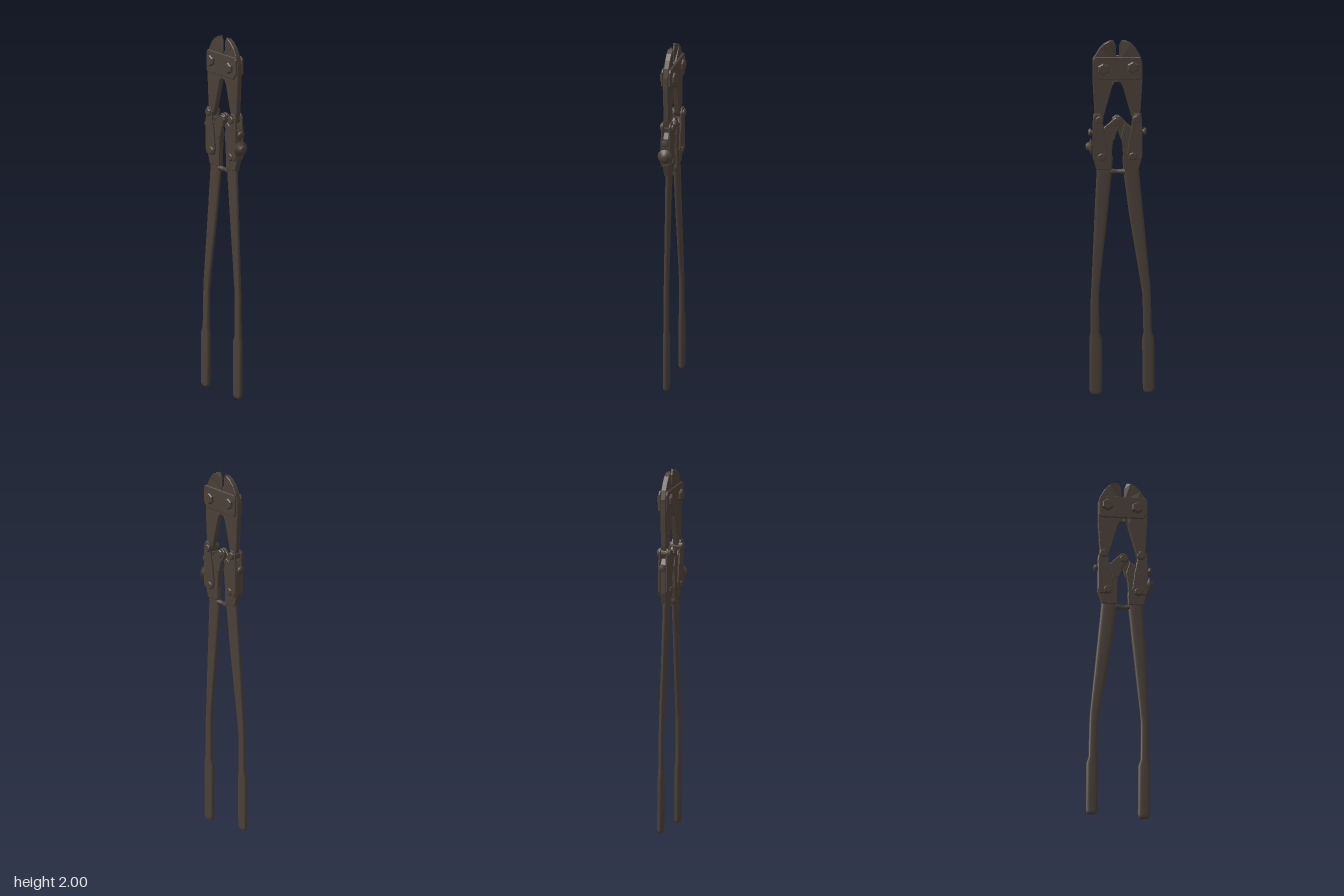
import * as THREE from 'three';

const AXIS = 0.014; // x of the tool's centre line
const mirror = pts => pts.map(([x, y]) => [2 * AXIS - x, y]);

export function createModel() {
  const root = new THREE.Group();
  root.name = 'boltCutter';
  const steel = new THREE.MeshStandardMaterial({ color: 0x4a4038 });
  steel.name = 'dark brown steel';

  const add = (name, geo, parent = root) => {
    const m = new THREE.Mesh(geo, steel);
    m.name = name;
    parent.add(m);
    return m;
  };

  // Flat plate with a small chamfer, spanning z0..z1
  const plateGeo = (pts, z0, z1, bevel = 0.003) => {
    const shape = new THREE.Shape(pts.map(p => new THREE.Vector2(...p)));
    const g = new THREE.ExtrudeGeometry(shape, {
      depth: z1 - z0 - 2 * bevel, bevelEnabled: bevel > 0, bevelThickness: bevel,
      bevelSize: bevel, bevelOffset: -bevel, bevelSegments: 1,
    });
    return g.translate(0, 0, z0 + bevel);
  };

  // Chamfered turned part along z, with a given number of sides
  const bolt = (name, x, y, r, h, sides) => {
    const profile = [[0, -h], [r * 0.8, -h], [r, -h + 0.005], [r, h - 0.005], [r * 0.8, h], [0, h]];
    let g = new THREE.LatheGeometry(profile.map(p => new THREE.Vector2(...p)), sides);
    g = g.toNonIndexed();
    g.computeVertexNormals();
    g.rotateX(Math.PI / 2);
    add(name, g).position.set(x, y, 0);
  };

  // Handle bar: oval rings from [y, xMin, xMax, half depth]
  const loft = (sections, sides = 20) => {
    const pos = [], index = [];
    const soft = v => Math.sign(v) * Math.abs(v) ** 0.65;
    const ring = ([y, x0, x1, d]) => {
      for (let i = 0; i < sides; i++) {
        const a = (i / sides) * Math.PI * 2;
        pos.push((x0 + x1) / 2 + soft(Math.cos(a)) * (x1 - x0) / 2, y, soft(Math.sin(a)) * d);
      }
    };
    sections.forEach(ring);
    for (let s = 0; s < sections.length - 1; s++) {
      for (let i = 0; i < sides; i++) {
        const a = s * sides + i, b = s * sides + (i + 1) % sides;
        index.push(a, a + sides, b, b, a + sides, b + sides);
      }
    }
    // End caps on their own rings
    for (const end of [0, sections.length - 1]) {
      const base = pos.length / 3;
      ring(sections[end]);
      for (let i = 1; i < sides - 1; i++) {
        if (end === 0) index.push(base, base + i, base + i + 1);
        else index.push(base, base + i + 1, base + i);
      }
    }
    const g = new THREE.BufferGeometry();
    g.setAttribute('position', new THREE.Float32BufferAttribute(pos, 3));
    g.setIndex(index);
    g.computeVertexNormals();
    return g;
  };

  // Handles with swollen grips
  add('rightHandle', loft([
    [0.01, -0.176, -0.134, 0.01], [0.025, -0.187, -0.124, 0.015], [0.31, -0.186, -0.12, 0.015],
    [0.345, -0.173, -0.127, 0.013], [0.56, -0.168, -0.122, 0.012], [0.62, -0.164, -0.113, 0.012],
    [1.035, -0.125, -0.046, 0.012], [1.25, -0.105, -0.019, 0.013], [1.34, -0.1, -0.012, 0.014],
  ]));
  add('leftHandle', loft([
    [0, 0.108, 0.156, 0.01], [0.018, 0.098, 0.166, 0.015], [0.31, 0.099, 0.167, 0.015],
    [0.345, 0.112, 0.161, 0.013], [0.56, 0.114, 0.159, 0.012], [0.62, 0.11, 0.155, 0.012],
    [1.035, 0.066, 0.138, 0.012], [1.25, 0.045, 0.128, 0.013], [1.34, 0.038, 0.125, 0.014],
  ]));

  const jaw = [
    [-0.008, 2], [-0.03, 1.997], [-0.058, 1.983], [-0.085, 1.955], [-0.108, 1.915], [-0.122, 1.865],
    [-0.122, 1.77], [-0.112, 1.6], [-0.1, 1.545], [-0.078, 1.54], [-0.063, 1.565], [-0.015, 1.74],
    [-0.002, 1.763], [0.013, 1.766], [0.013, 1.89], [0.007, 1.9], [0.005, 1.97],
  ];
  const head = [
    [-0.1, 1.27], [-0.12, 1.34], [-0.121, 1.5], [-0.1, 1.53], [-0.07, 1.53],
    [-0.06, 1.508], [-0.025, 1.53], [-0.005, 1.46], [-0.014, 1.4], [-0.018, 1.27],
  ];
  const arm = [
    [-0.062, 1.505], [-0.012, 1.555], [0.005, 1.573], [0.025, 1.574], [0.042, 1.56],
    [0.044, 1.535], [0.03, 1.515], [0.012, 1.49], [-0.002, 1.44], [-0.035, 1.42],
  ];
  const strap = [
    [-0.118, 1.57], [-0.108, 1.59], [-0.078, 1.59], [-0.066, 1.565], [-0.063, 1.52],
    [-0.05, 1.46], [-0.038, 1.36], [-0.05, 1.328], [-0.112, 1.328], [-0.122, 1.35], [-0.122, 1.5],
  ];

  for (const [side, flip] of [['right', p => p], ['left', mirror]]) {
    const sign = side === 'right' ? 1 : -1;

    // Jaw, ground thin towards its cutting edge
    const g = plateGeo(flip(jaw), -0.015, 0.015);
    const p = g.attributes.position;
    for (let i = 0; i < p.count; i++) {
      const toEdge = Math.abs(p.getX(i) - AXIS);
      if (p.getY(i) > 1.895 && toEdge < 0.03) p.setZ(i, p.getZ(i) * 0.3);
    }
    g.computeVertexNormals();
    add(side + 'Jaw', g);

    // Handle head, and the arm that overlaps at the centre pivot
    add(side + 'HandleHead', plateGeo(flip(head), -0.016, 0.016));
    add(side + 'PivotArm', plateGeo(flip(arm), sign > 0 ? 0.001 : -0.018, sign > 0 ? 0.018 : -0.001));

    // Straps tying jaw to handle, front and back
    add(side + 'StrapFront', plateGeo(flip(strap), 0.015, 0.028));
    add(side + 'StrapBack', plateGeo(flip(strap), -0.028, -0.015));

    // Stop peg between the handles
    const peg = new THREE.CylinderGeometry(0.011, 0.016, 0.04, 12).rotateZ(-sign * Math.PI / 2);
    add(side + 'StopPeg', peg).position.set(AXIS - sign * 0.021, 1.258, 0);
  }

  // Plates across the jaws
  const cover = [
    [-0.108, 1.91], [0.138, 1.91], [0.148, 1.895], [0.148, 1.815], [0.125, 1.785],
    [-0.108, 1.785], [-0.118, 1.8], [-0.118, 1.89],
  ];
  add('jawPlateFront', plateGeo(cover, 0.014, 0.026));
  add('jawPlateBack', plateGeo(cover, -0.029, -0.015));

  // Bolts through the tool
  bolt('rightJawBolt', -0.07, 1.855, 0.033, 0.043, 6);
  bolt('leftJawBolt', 0.092, 1.845, 0.033, 0.043, 6);
  bolt('pivotBolt', 0.021, 1.543, 0.024, 0.027, 8);
  bolt('rightStrapUpperBolt', -0.092, 1.562, 0.022, 0.039, 12);
  bolt('leftStrapUpperBolt', 0.112, 1.556, 0.022, 0.039, 12);
  bolt('rightStrapLowerBolt', -0.07, 1.35, 0.022, 0.034, 12);
  bolt('leftStrapLowerBolt', 0.1, 1.345, 0.022, 0.034, 12);

  // Adjusting screws on the outer edges, turned along x
  const knob = (name, profile, x, y, sign) => {
    const geo = new THREE.LatheGeometry(profile.map(q => new THREE.Vector2(...q)), 16);
    geo.rotateZ(-sign * Math.PI / 2);
    add(name, geo).position.set(x, y, 0);
  };
  const stud = [[0.012, -0.01], [0.012, 0.01], [0.02, 0.01], [0.02, 0.02], [0.014, 0.026], [0, 0.026]];
  knob('rightAdjustScrew', stud, -0.119, 1.485, -1);
  knob('leftAdjustScrew', stud, 0.147, 1.48, 1);
  knob('adjustKnob', [
    [0.025, -0.01], [0.03, 0.004], [0.042, 0.008], [0.042, 0.013], [0.025, 0.02],
    [0.02, 0.034], [0.012, 0.039], [0, 0.039],
  ], 0.148, 1.4, 1);

  return root;
}
